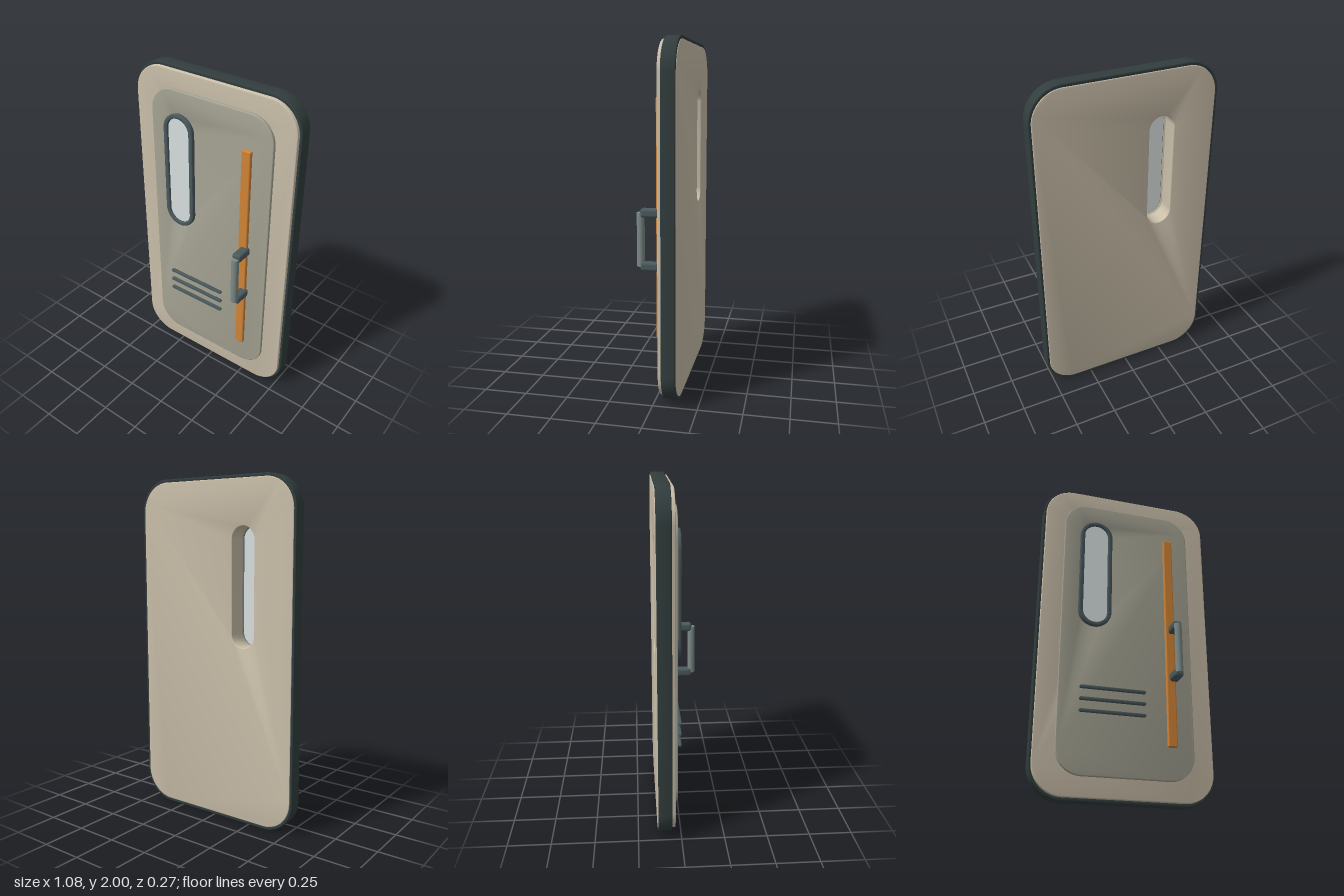
import * as THREE from 'three';
import { toCreasedNormals } from 'three/addons/utils/BufferGeometryUtils.js';
import { RoundedBoxGeometry } from 'three/addons/geometries/RoundedBoxGeometry.js';

const mat = (color) => new THREE.MeshStandardMaterial({ color });
const beige = mat(0xcabfaa);
const sage = mat(0xa6a494);
const dark = mat(0x323d3d);
const slate = mat(0x4a595d);
const orange = mat(0xd08436);
const steel = mat(0x7c8a87);
const glassMat = mat(0xd9e0df);

// Rounded rectangle outline centred on (cx, cy)
function outline(cx, cy, w, h, r, path = new THREE.Shape()) {
  const x = w / 2 - r, y = h / 2 - r;
  path.absarc(cx + x, cy + y, r, 0, Math.PI / 2);
  path.absarc(cx - x, cy + y, r, Math.PI / 2, Math.PI);
  path.absarc(cx - x, cy - y, r, Math.PI, Math.PI * 1.5);
  path.absarc(cx + x, cy - y, r, Math.PI * 1.5, Math.PI * 2);
  path.closePath();
  return path;
}

// Plate between two depths, with an optional hole and softened edges
function plate(name, material, rect, z0, z1, hole, bevel = 0.004) {
  const shape = outline(...rect);
  if (hole) shape.holes.push(outline(...hole, new THREE.Path()));
  const geometry = new THREE.ExtrudeGeometry(shape, {
    depth: z1 - z0 - 2 * bevel,
    bevelEnabled: bevel > 0,
    bevelThickness: bevel,
    bevelSize: bevel,
    bevelOffset: -bevel,
    bevelSegments: 3,
    curveSegments: 14,
  });
  geometry.translate(0, 0, z0 + bevel);
  const mesh = new THREE.Mesh(toCreasedNormals(geometry, 0.7), material);
  mesh.name = name;
  return mesh;
}

export function createModel() {
  const door = new THREE.Group();
  door.name = 'door';

  // Door leaf: dark rim, full slab and raised front panel, pierced by the window
  const opening = [-0.205, 1.385, 0.15, 0.68, 0.0749];
  const slab = [0, 1, 1.052, 1.965, 0.175];
  door.add(
    plate('outerRim', dark, [0, 1, 1.08, 2, 0.19], -0.134, -0.055, [0, 1, 1.045, 1.958, 0.172]),
    plate('doorSlab', beige, slab, -0.137, -0.035, opening),
    plate('frontPanel', sage, [0, 1.005, 0.81, 1.75, 0.15], -0.036, -0.015, opening),
  );

  // Pill-shaped window
  door.add(
    plate('windowFrame', slate, [-0.205, 1.385, 0.204, 0.73, 0.1019], -0.017, 0.01, opening, 0.006),
    plate('windowGlass', glassMat, [-0.205, 1.385, 0.152, 0.682, 0.0759], -0.014, -0.004, null, 0),
  );

  // Vent bars
  for (const y of [0.63, 0.56, 0.49]) {
    door.add(plate('ventBar', slate, [-0.088, y, 0.394, 0.018, 0.0085], -0.005, 0.014, null, 0.003));
  }

  // Vertical accent strip
  const strip = new THREE.Mesh(new RoundedBoxGeometry(0.058, 1.37, 0.025, 3, 0.008), orange);
  strip.name = 'accentStrip';
  strip.position.set(0.263, 1, 0.0115);
  door.add(strip);

  // Pull handle: two mounts and an upright grip
  const handle = new THREE.Group();
  handle.name = 'handle';
  for (const y of [1.045, 0.737]) {
    const mount = new THREE.Mesh(new RoundedBoxGeometry(0.056, 0.052, 0.112, 4, 0.016), slate);
    mount.name = 'handleMount';
    mount.position.set(0.28, y, 0.058);
    handle.add(mount);
  }
  const grip = new THREE.Mesh(new THREE.CylinderGeometry(0.0225, 0.0225, 0.31, 28), steel);
  grip.name = 'handleGrip';
  grip.position.set(0.28, 0.891, 0.1145);
  handle.add(grip);
  door.add(handle);

  return door;
}
